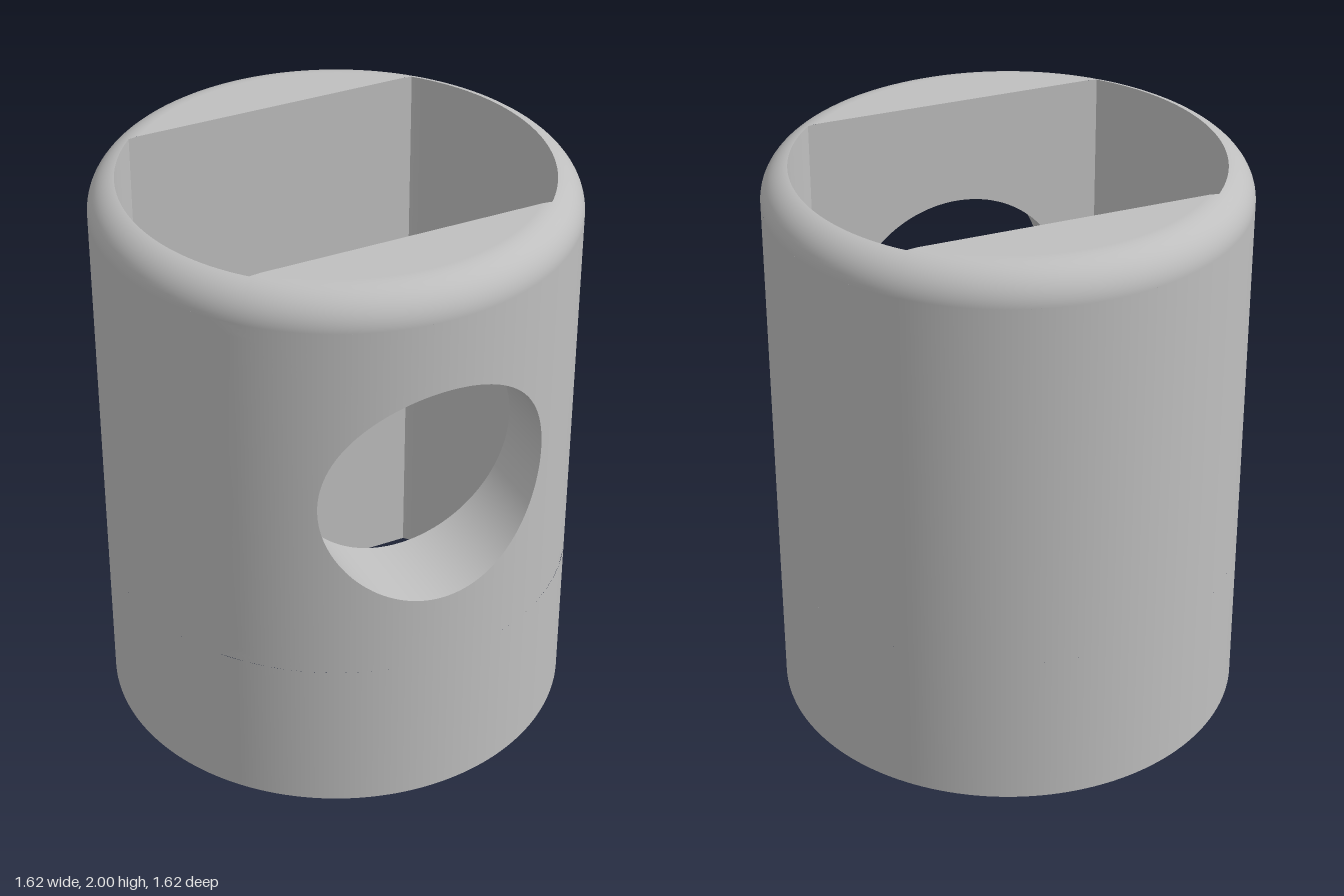
import * as THREE from 'three';

const R = 0.81, H = 2;               // outer body
const FIL = 0.12, RF = R - FIL;      // top rounding
const RI = 0.717, FLAT = 0.487;      // bore: circle cut by two flats
const HR = 0.405, HY = 1.22;         // round front hole
const PAN = 0.66;                    // half size of the wall panel holding the hole
const HX = Math.sqrt(RI * RI - FLAT * FLAT);
const C = Math.atan2(HX, FLAT);      // bore corner angle
const { sin, cos, abs, max, min, PI } = Math;

// Surface grid; fn(u, v) returns [x, y, z, nx, ny, nz], front side = du x dv
function grid(nu, nv, fn) {
  const pos = [], nor = [], idx = [];
  for (let i = 0; i <= nu; i++) {
    for (let j = 0; j <= nv; j++) {
      const p = fn(i / nu, j / nv);
      pos.push(p[0], p[1], p[2]);
      nor.push(p[3], p[4], p[5]);
      if (i < nu && j < nv) {
        const a = i * (nv + 1) + j, b = a + nv + 1;
        idx.push(a, b, b + 1, a, b + 1, a + 1);
      }
    }
  }
  const g = new THREE.BufferGeometry();
  g.setAttribute('position', new THREE.Float32BufferAttribute(pos, 3));
  g.setAttribute('normal', new THREE.Float32BufferAttribute(nor, 3));
  g.setIndex(idx);
  return g;
}

// Angle round the body with samples landing exactly on the bore corners
const STOPS = [-C, C, PI - C, PI + C, 2 * PI - C];
function around(u) {
  const k = min(3, Math.floor(u * 4 + 1e-9));
  return STOPS[k] + (STOPS[k + 1] - STOPS[k]) * (u * 4 - k);
}
const bore = (t) => min(RI, FLAT / max(abs(cos(t)), 1e-6));
const topY = (r) => (r <= RF ? H : H - FIL + Math.sqrt(FIL * FIL - (r - RF) ** 2));

// Part of the outer cylinder
const outer = (t0, t1, y0, y1, n) => grid(n, 1, (u, v) => {
  const t = t0 + (t1 - t0) * u;
  return [R * sin(t), y0 + (y1 - y0) * v, R * cos(t), sin(t), 0, cos(t)];
});

// Flat bore wall outline, optionally pierced by the front hole
function flatWall(pierced) {
  const xr = Math.sqrt(RF * RF - FLAT * FLAT), yc = topY(RI);
  const s = new THREE.Shape([[-HX, 0], [HX, 0], [HX, yc], [xr, H], [-xr, H], [-HX, yc]]
    .map(([x, y]) => new THREE.Vector2(x, y)));
  if (pierced) s.holes.push(new THREE.Path().absarc(0, HY, HR, 0, 2 * PI, true));
  return new THREE.ShapeGeometry(s, 64);
}

export function createModel() {
  const group = new THREE.Group();
  const grey = new THREE.MeshStandardMaterial({ color: 0xbfbfbf });
  grey.name = 'grey';
  const add = (name, geometry) => {
    const m = new THREE.Mesh(geometry, grey);
    m.name = name;
    group.add(m);
  };

  // Outer wall: lower band, remaining shell, and panel with the hole
  const yLow = HY - PAN, yHigh = H - FIL, edge = Math.asin(PAN / R);
  add('lowerWall', outer(0, 2 * PI, 0, yLow, 160));
  add('upperWall', outer(edge, 2 * PI - edge, yLow, yHigh, 120));
  add('holePanel', grid(16, 128, (u, v) => {
    const t = v * 2 * PI, c = cos(t), s = sin(t);
    const far = PAN / max(abs(c), abs(s)), r = HR + (far - HR) * u;
    const x = r * c, z = Math.sqrt(R * R - x * x);
    return [x, HY + r * s, z, x / R, 0, z / R];
  }));

  // Rounded top rim, ending in flat shoulders beside the bore
  const steps = 13;
  add('topRim', grid(192, steps, (u, v) => {
    const t = around(u), ri = bore(t), last = v > 1 - 0.5 / steps;
    const end = ri <= RF ? PI / 2 : Math.acos((ri - RF) / FIL);
    const a = end * min(1, v * steps / (steps - 1));
    const r = last ? ri : RF + FIL * cos(a);
    return [r * sin(t), H - FIL + FIL * sin(a), r * cos(t),
      cos(a) * sin(t), sin(a), cos(a) * cos(t)];
  }));

  // Underside ring
  add('underside', grid(192, 1, (u, v) => {
    const t = around(u), r = bore(t) + (R - bore(t)) * v;
    return [r * sin(t), 0, r * cos(t), 0, -1, 0];
  }));

  // Curved bore sides
  for (const [name, mid] of [['leftBoreWall', PI / 2], ['rightBoreWall', -PI / 2]]) {
    const half = PI / 2 - C;
    add(name, grid(48, 1, (u, v) => {
      const t = mid + half * (1 - 2 * u);
      return [RI * sin(t), topY(RI) * v, RI * cos(t), -sin(t), 0, -cos(t)];
    }));
  }

  // Flat bore sides
  add('backBoreWall', flatWall(false).translate(0, 0, -FLAT));
  add('frontBoreWall', flatWall(true).rotateY(PI).translate(0, 0, FLAT));

  // Tunnel of the front hole
  add('holeTunnel', grid(1, 128, (u, v) => {
    const t = v * 2 * PI, x = HR * cos(t);
    const z = FLAT + (Math.sqrt(R * R - x * x) - FLAT) * u;
    return [x, HY + HR * sin(t), z, -cos(t), -sin(t), 0];
  }));

  return group;
}
